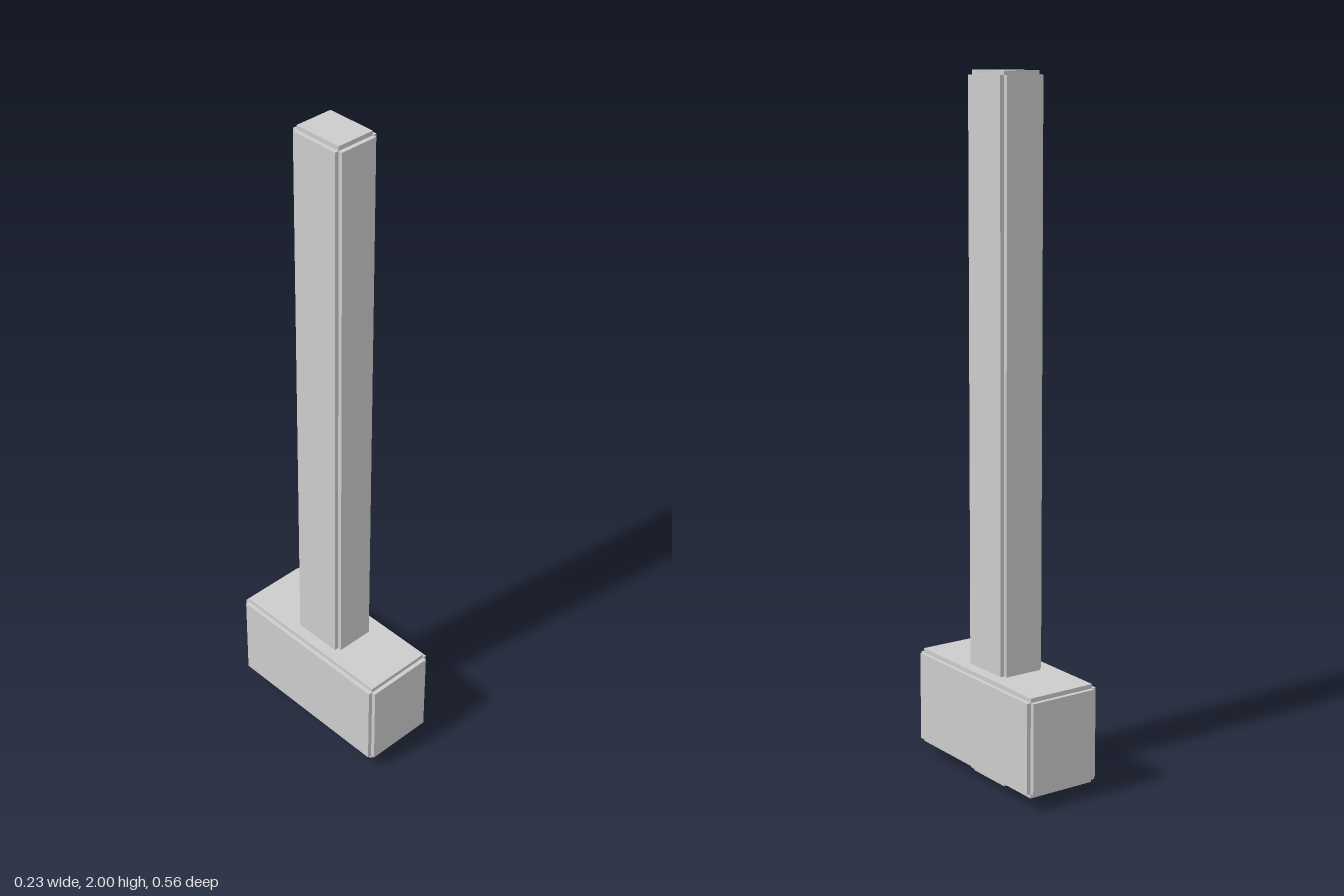
import * as THREE from 'three';

const material = new THREE.MeshStandardMaterial({ color: 0xcccccc, flatShading: true });
const STEP = 0.0125;

// Block with stepped edges: three crossing boxes, each full size along one axis only
function steppedBlock(name, w, h, d, bottom) {
  const group = new THREE.Group();
  group.name = name;
  const s = 2 * STEP;
  const layers = [
    ['Sides', w, h - s, d - s],
    ['Caps', w - s, h, d - s],
    ['Ends', w - s, h - s, d],
  ];
  for (const [suffix, x, y, z] of layers) {
    const mesh = new THREE.Mesh(new THREE.BoxGeometry(x, y, z), material);
    mesh.name = name + suffix;
    group.add(mesh);
  }
  group.position.y = bottom + h / 2;
  return group;
}

export function createModel() {
  const model = new THREE.Group();
  model.name = 'hammer';
  // Long handle passes through the head and pokes out below it
  model.add(steppedBlock('handle', 0.141, 2, 0.176, 0));
  model.add(steppedBlock('head', 0.235, 0.288, 0.562, 0.04));
  return model;
}
